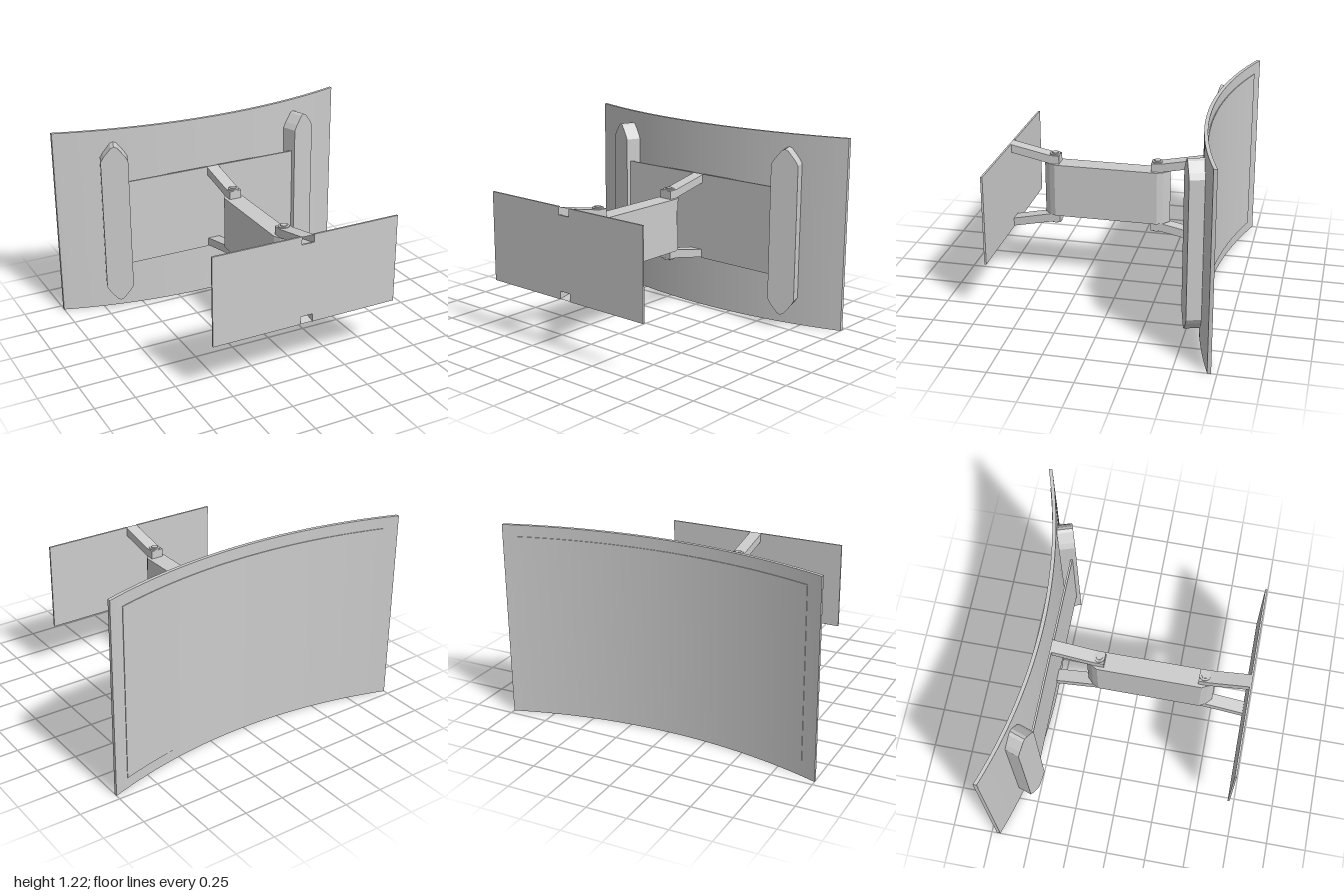
import * as THREE from 'three';
import { toCreasedNormals } from 'three/addons/utils/BufferGeometryUtils.js';

const MID = 0.61; // height of the mount's centre line
const grey = new THREE.MeshStandardMaterial({ color: 0xcccccc });
const greyOpen = new THREE.MeshStandardMaterial({ color: 0xcccccc, side: THREE.DoubleSide });

function add(parent, name, geometry, material = grey) {
  const mesh = new THREE.Mesh(geometry, material);
  mesh.name = name;
  parent.add(mesh);
  return mesh;
}

// Extrudes a plan outline of [x, z] points upward from y0 to y1.
function standing(points, y0, y1) {
  const shape = new THREE.Shape(points.map(([x, z]) => new THREE.Vector2(x, -z)));
  const geo = new THREE.ExtrudeGeometry(shape, { depth: y1 - y0, bevelEnabled: false });
  geo.rotateX(-Math.PI / 2).translate(0, y0, 0);
  return geo;
}

// Curved sheet following the display's arc.
function curvedSlab(halfWidth, y0, y1, zFront, zBack) {
  const R = 3.11, n = 40, front = [], back = [];
  for (let i = 0; i <= n; i++) {
    const x = halfWidth * (2 * i / n - 1);
    const sag = R - Math.sqrt(R * R - x * x);
    front.push([x, zFront - sag]);
    back.push([x, zBack - sag]);
  }
  return toCreasedNormals(standing([...front, ...back.reverse()], y0, y1), 0.5);
}

// Thin plate with a slot at the top and bottom where the arms enter.
function slottedPlate() {
  const w = 0.605, h = 0.28, s = 0.04, d = 0.05;
  const pts = [[-w, -h], [-s, -h], [-s, d - h], [s, d - h], [s, -h], [w, -h],
    [w, h], [s, h], [s, h - d], [-s, h - d], [-s, h], [-w, h]];
  const shape = new THREE.Shape(pts.map(p => new THREE.Vector2(...p)));
  return new THREE.ExtrudeGeometry(shape, { depth: 0.012, bevelEnabled: false })
    .translate(0, MID, -0.006);
}

// Bent rectangular arm, open at the plate end; sections are [z, bottom, top].
function armGeometry(sections) {
  const w = 0.04, pos = [], index = [];
  for (const [z, b, t] of sections) pos.push(-w, b, z, w, b, z, w, t, z, -w, t, z);
  for (let i = 0; i < sections.length - 1; i++) {
    for (let j = 0; j < 4; j++) {
      const a = i * 4 + j, b = i * 4 + (j + 1) % 4;
      index.push(a, b, b + 4, a, b + 4, a + 4);
    }
  }
  index.push(0, 2, 1, 0, 3, 2); // hinge end cap
  const geo = new THREE.BufferGeometry();
  geo.setAttribute('position', new THREE.Float32BufferAttribute(pos, 3));
  geo.setIndex(index);
  const flat = geo.toNonIndexed();
  flat.computeVertexNormals();
  return flat;
}

export function createModel() {
  const model = new THREE.Group();
  model.name = 'wallMountedDisplay';

  // Curved display with a slightly raised screen on its viewing side
  const display = new THREE.Group();
  display.name = 'display';
  model.add(display);
  add(display, 'displayHousing', curvedSlab(1, 0, 1.215, -0.53, -0.552));
  add(display, 'screen', curvedSlab(0.91, 0.07, 1.145, -0.545, -0.557));

  // Pointed vertical rails that follow the curve of the housing
  const outline = [[0.085, 0.43], [0.065, 0.463], [0.02, 0.518], [0, 0.527],
    [-0.02, 0.518], [-0.065, 0.463], [-0.085, 0.43]];
  const railShape = new THREE.Shape(
    [...outline, ...outline.map(([x, y]) => [-x, -y])].map(p => new THREE.Vector2(...p)));
  for (const side of [-1, 1]) {
    const geo = new THREE.ExtrudeGeometry(railShape, { depth: 0.1, bevelEnabled: false });
    geo.translate(0, 0, -0.1);
    const rail = add(display, side > 0 ? 'leftRail' : 'rightRail', geo);
    rail.rotation.y = side * 0.32;
    rail.position.set(side * 0.673, 0.608, -0.505);
  }

  // Plates on the wall side and on the display side
  add(model, 'wallPlate', slottedPlate()).position.z = 0.705;
  add(model, 'displayPlate', slottedPlate()).position.z = -0.508;

  // Central arm block with tapered ends
  add(model, 'centreBlock', standing([[0.06, 0.42], [0.04, 0.457], [0, 0.495], [-0.04, 0.457],
    [-0.06, 0.42], [-0.06, -0.225], [-0.04, -0.262], [0, -0.3], [0.04, -0.262], [0.06, -0.225]]
    .reverse(), 0.44, 0.78));

  // Four bent arms with hinge bolts
  const ends = [
    { name: 'front', hinge: 0.395, bend: 0.455, plate: 0.711, bolt: 0.428 },
    { name: 'rear', hinge: -0.185, bend: -0.245, plate: -0.514, bolt: -0.218 },
  ];
  for (const e of ends) {
    for (const up of [1, -1]) {
      const arm = new THREE.Group();
      arm.name = e.name + (up > 0 ? 'UpperArm' : 'LowerArm');
      arm.position.y = MID;
      model.add(arm);
      const section = (z, lo, hi) => up > 0 ? [z, lo, hi] : [z, -hi, -lo];
      const sections = [section(e.hinge, 0.17, 0.222), section(e.bend, 0.17, 0.224),
        section(e.plate, 0.226, 0.278)];
      const geo = armGeometry(sections);
      add(arm, 'armBar', geo, greyOpen);
      add(arm, 'boltHead', new THREE.CylinderGeometry(0.034, 0.034, 0.012, 20))
        .position.set(0, up * 0.224, e.bolt);
      add(arm, 'boltCap', new THREE.CylinderGeometry(0.022, 0.022, 0.012, 6))
        .position.set(0, up * 0.23, e.bolt);
    }
  }
  return model;
}
